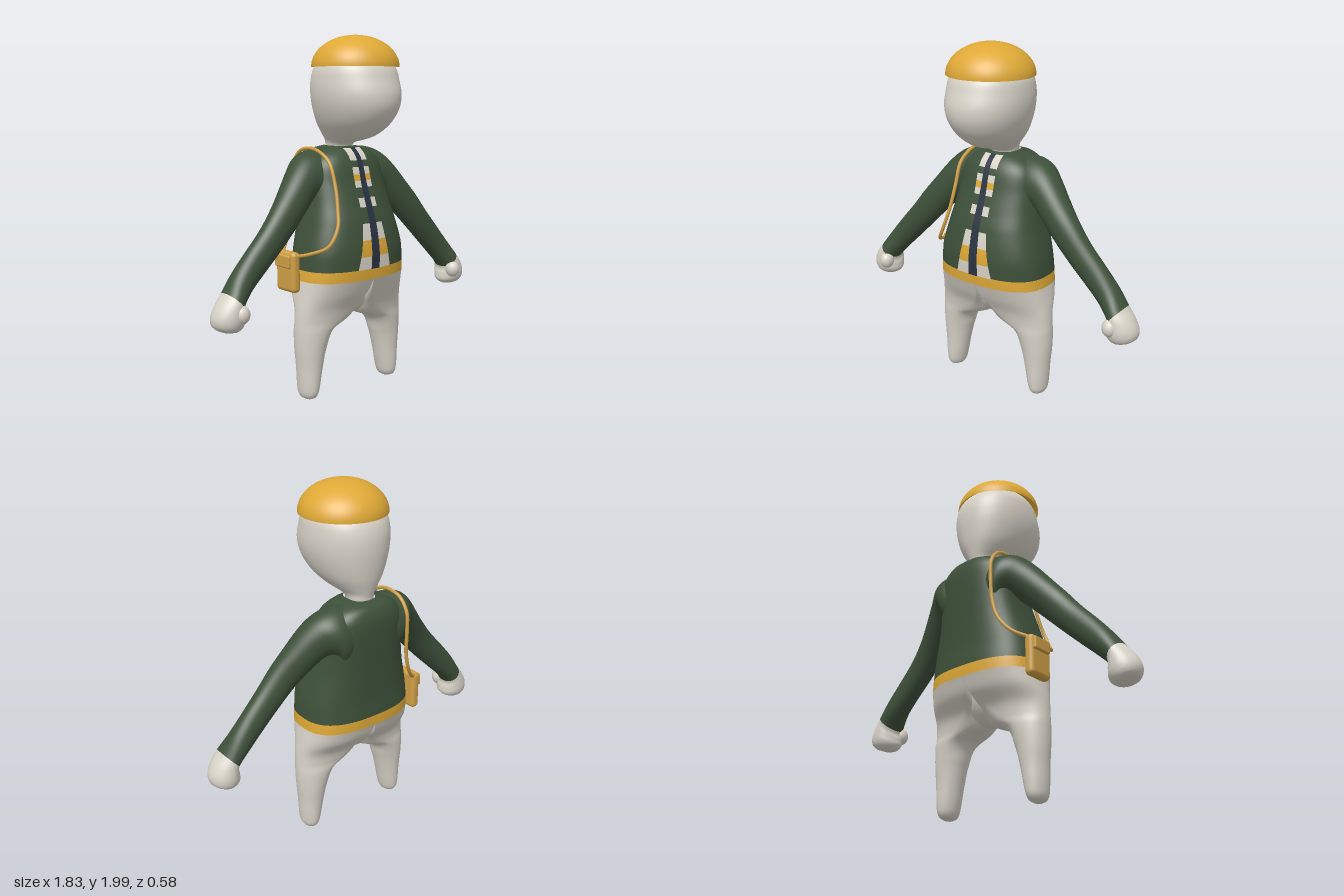
import * as THREE from 'three';
import { RoundedBoxGeometry } from 'three/addons/geometries/RoundedBoxGeometry.js';

const mat = (name, color, side = THREE.FrontSide) =>
  Object.assign(new THREE.MeshStandardMaterial({ color, side }), { name });

// Smooth table lookup: rows are [key, ...values] with rising keys
function at(rows, k) {
  let i = 0;
  while (i < rows.length - 2 && k > rows[i + 1][0]) i++;
  const a = rows[i], b = rows[i + 1], p = rows[i - 1] || a, q = rows[i + 2] || b;
  const h = b[0] - a[0], t = (k - a[0]) / h, t2 = t * t, t3 = t2 * t;
  return a.map((v, c) => {
    const m0 = (b[c] - p[c]) / (b[0] - p[0]) * h, m1 = (q[c] - v) / (q[0] - a[0]) * h;
    return (2 * t3 - 3 * t2 + 1) * v + (t3 - 2 * t2 + t) * m0 + (3 * t2 - 2 * t3) * b[c] + (t3 - t2) * m1;
  });
}

function geometryOf(pos, idx) {
  const g = new THREE.BufferGeometry();
  g.setAttribute('position', new THREE.Float32BufferAttribute(pos, 3));
  g.setIndex(idx);
  g.computeVertexNormals();
  return g;
}

// Skin closed rings from key k0 to k1; point(k, angle) gives [x, y, z]
function loft(point, k0, k1, { rows = 36, segs = 56, flip = false, capStart = false, capEnd = false } = {}) {
  const pos = [], idx = [];
  const tri = (a, b, c) => flip ? idx.push(a, c, b) : idx.push(a, b, c);
  for (let i = 0; i <= rows; i++) {
    for (let j = 0; j < segs; j++) pos.push(...point(k0 + (k1 - k0) * i / rows, j / segs * Math.PI * 2));
  }
  for (let i = 0; i < rows; i++) for (let j = 0; j < segs; j++) {
    const a = i * segs + j, b = i * segs + (j + 1) % segs;
    tri(a, a + segs, b);
    tri(b, a + segs, b + segs);
  }
  const cap = (row, top) => {
    const c = pos.length / 3, sum = [0, 0, 0];
    for (let j = 0; j < segs; j++) for (let d = 0; d < 3; d++) sum[d] += pos[(row * segs + j) * 3 + d] / segs;
    pos.push(...sum);
    for (let j = 0; j < segs; j++) {
      const a = row * segs + j, b = row * segs + (j + 1) % segs;
      top ? tri(a, c, b) : tri(a, b, c);
    }
  };
  if (capStart) cap(0, false);
  if (capEnd) cap(rows, true);
  return geometryOf(pos, idx);
}

const spow = (v, p) => Math.sign(v) * Math.abs(v) ** p;

// Body tables: [y, half width, front z, back z]
const BOX = 0.77;
const TORSO = [[0.68, 0.34, 0.175, -0.27], [0.74, 0.335, 0.179, -0.272], [0.85, 0.322, 0.18, -0.267],
  [1.0, 0.283, 0.153, -0.27], [1.1, 0.262, 0.118, -0.275], [1.2, 0.25, 0.083, -0.28],
  [1.3, 0.235, 0.055, -0.28], [1.35, 0.2, 0.03, -0.268], [1.385, 0.14, -0.005, -0.245], [1.4, 0.075, -0.03, -0.2]];
const HEAD = [[1.36, 0.07, -0.04, -0.195], [1.415, 0.073, -0.025, -0.2], [1.435, 0.088, 0.06, -0.206],
  [1.46, 0.117, 0.14, -0.213], [1.52, 0.168, 0.225, -0.228], [1.6, 0.206, 0.279, -0.24], [1.68, 0.224, 0.29, -0.246],
  [1.76, 0.224, 0.268, -0.24], [1.83, 0.21, 0.24, -0.212], [1.89, 0.165, 0.18, -0.15], [1.94, 0.08, 0.1, -0.07]];
// Leg table: [y, outer x, middle x, inner x, front z, back z, squareness]
const LEG = [[0.006, 0.318, 0.3, 0.28, -0.012, -0.066, 1], [0.016, 0.336, 0.3, 0.262, 0.012, -0.09, 1],
  [0.05, 0.35, 0.3, 0.246, 0.03, -0.108, 1], [0.2, 0.361, 0.29, 0.213, 0.04, -0.12, 1],
  [0.3, 0.37, 0.28, 0.185, 0.048, -0.13, 1], [0.4, 0.373, 0.24, 0.14, 0.06, -0.14, 0.95],
  [0.45, 0.371, 0.17, 0.03, 0.07, -0.145, 0.9], [0.52, 0.365, 0.08, 0, 0.095, -0.17, 0.85],
  [0.6, 0.353, 0.02, 0, 0.14, -0.235, 0.8], [0.68, 0.34, 0, 0, 0.175, -0.27, BOX]];
// Arm table: [step, upper x, upper y, lower x, lower y, centre z, half depth]
const ARM = [[0, 0.1, 1.385, 0.1, 1.02, -0.13, 0.12], [1, 0.2, 1.383, 0.18, 1.05, -0.13, 0.135],
  [2, 0.285, 1.352, 0.2, 1.1, -0.12, 0.125], [3, 0.36, 1.285, 0.235, 1.115, -0.095, 0.105],
  [4, 0.45, 1.175, 0.315, 1.045, -0.065, 0.088], [5, 0.52, 1.09, 0.4, 0.96, -0.045, 0.075],
  [6, 0.6, 0.99, 0.5, 0.86, -0.037, 0.067], [7, 0.7, 0.88, 0.61, 0.755, -0.037, 0.065],
  [8, 0.78, 0.785, 0.69, 0.68, -0.035, 0.072], [9, 0.84, 0.7, 0.757, 0.607, -0.022, 0.087],
  [10, 0.885, 0.645, 0.752, 0.56, -0.02, 0.092], [11, 0.915, 0.585, 0.752, 0.52, -0.022, 0.09],
  [12, 0.91, 0.535, 0.785, 0.495, -0.025, 0.07], [12.4, 0.885, 0.512, 0.825, 0.492, -0.028, 0.035]];

const oval = (rows, p) => (y, a) => {
  const [, rx, zf, zb] = at(rows, y);
  return [rx * spow(Math.cos(a), p), y, (zf + zb) / 2 + (zf - zb) / 2 * spow(Math.sin(a), p)];
};
const legPoint = side => (y, a) => {
  const [, xo, xm, xi, zf, zb, p] = at(LEG, y), c = spow(Math.cos(a), p);
  return [side * (xm + (c > 0 ? xo - xm : xm - xi) * c), y, (zf + zb) / 2 + (zf - zb) / 2 * spow(Math.sin(a), p)];
};
const armPoint = side => (k, a) => {
  const [, ux, uy, lx, ly, z, rz] = at(ARM, k), c = Math.cos(a) / 2;
  return [side * ((ux + lx) / 2 + (ux - lx) * c), (uy + ly) / 2 + (uy - ly) * c, z + rz * Math.sin(a)];
};

// Thin patch lying on the chest between two heights
function chestPatch(y0, y1, halfWidth, lift) {
  const pos = [], idx = [], cols = 8, rows = Math.max(2, Math.ceil((y1 - y0) / 0.012)), n = 2 / BOX;
  for (let i = 0; i <= rows; i++) {
    const y = y0 + (y1 - y0) * i / rows, [, rx, zf, zb] = at(TORSO, y), w = halfWidth(y);
    for (let j = 0; j <= cols; j++) {
      const x = w * (2 * j / cols - 1);
      pos.push(x, y, (zf + zb) / 2 + (zf - zb) / 2 * (1 - (Math.abs(x) / rx) ** n) ** (1 / n) + lift);
      if (i < rows && j < cols) {
        const a = i * (cols + 1) + j, b = a + cols + 1;
        idx.push(a, a + 1, b, a + 1, b + 1, b);
      }
    }
  }
  return geometryOf(pos, idx);
}

export function createModel() {
  const model = new THREE.Group();
  model.name = 'figure';
  const white = mat('off white', 0xd8d3c8), green = mat('jacket green', 0x3d5039);
  const gold = mat('gold', 0xdfa937, THREE.DoubleSide), navy = mat('zip navy', 0x2a3342), tan = mat('bag tan', 0xcf9f45);
  const add = (name, geometry, material, x = 0, y = 0, z = 0) => {
    const m = new THREE.Mesh(geometry, material);
    m.name = name;
    m.position.set(x, y, z);
    model.add(m);
    return m;
  };

  // Head and cap
  add('head', loft(oval(HEAD, 0.95), 1.36, 1.94, { rows: 48, capEnd: true }), white);
  add('cap', new THREE.SphereGeometry(1, 56, 20, 0, Math.PI * 2, 0, Math.PI / 2).scale(0.24, 0.17, 0.24), gold, 0, 1.83, 0.02);

  // Jacket body and belt
  add('jacket', loft(oval(TORSO, BOX), 0.74, 1.4, { rows: 48, segs: 72 }), green);
  add('belt', loft(oval(TORSO, BOX), 0.68, 0.74, { rows: 4, segs: 72 }), gold);

  // Trousers
  add('pelvis', new THREE.SphereGeometry(1, 40, 28).scale(0.21, 0.2, 0.15), white, 0, 0.65, -0.045);

  // Limbs
  for (const [label, side] of [['left', 1], ['right', -1]]) {
    add(label + 'Leg', loft(legPoint(side), 0.006, 0.68, { rows: 60, flip: side < 0, capStart: true }), white);
    add(label + 'Sleeve', loft(armPoint(side), 0, 9, { flip: side > 0 }), green);
    add(label + 'Hand', loft(armPoint(side), 9, 12.4, { rows: 18, flip: side > 0, capEnd: true }), white);
    add(label + 'Thumb', new THREE.SphereGeometry(1, 24, 16).scale(0.042, 0.05, 0.045), white, side * 0.79, 0.595, 0.048);
  }

  // Striped shirt seen through the open jacket, with the zip over it
  const opening = y => 0.06 + 0.057 * Math.max(0, (1.1 - y) / 0.36) ** 1.5;
  const stripes = [[0.74, 0.81, white], [0.81, 0.9, gold], [0.9, 0.99, white], [1.075, 1.125, white],
    [1.18, 1.215, white], [1.215, 1.25, gold], [1.25, 1.29, white], [1.325, 1.39, white]];
  for (const [y0, y1, m] of stripes) add('shirtStripe', chestPatch(y0, y1, opening, 0.005), m);
  add('zip', chestPatch(0.74, 1.392, y => 0.016 + 0.014 * (1.4 - y) / 0.66, 0.009), navy);

  // Shoulder bag
  add('bag', new RoundedBoxGeometry(0.056, 0.225, 0.16, 4, 0.024), tan, -0.372, 0.73, -0.112);
  add('bagFlap', new RoundedBoxGeometry(0.03, 0.07, 0.125, 3, 0.009), tan, -0.4, 0.79, -0.118);
  const strap = [[-0.365, 0.82, -0.04], [-0.335, 0.845, 0.05], [-0.285, 0.885, 0.125], [-0.235, 0.98, 0.142],
    [-0.212, 1.08, 0.117], [-0.2, 1.2, 0.083], [-0.2, 1.32, 0.035], [-0.2, 1.375, -0.05], [-0.2, 1.39, -0.13],
    [-0.2, 1.37, -0.22], [-0.2, 1.3, -0.275], [-0.2, 1.2, -0.282], [-0.205, 1.06, -0.275],
    [-0.235, 0.95, -0.265], [-0.295, 0.87, -0.23], [-0.365, 0.83, -0.17]];
  const path = new THREE.CatmullRomCurve3(strap.map(p => new THREE.Vector3(...p)));
  add('bagStrap', new THREE.TubeGeometry(path, 100, 0.01, 8), tan);

  return model;
}
